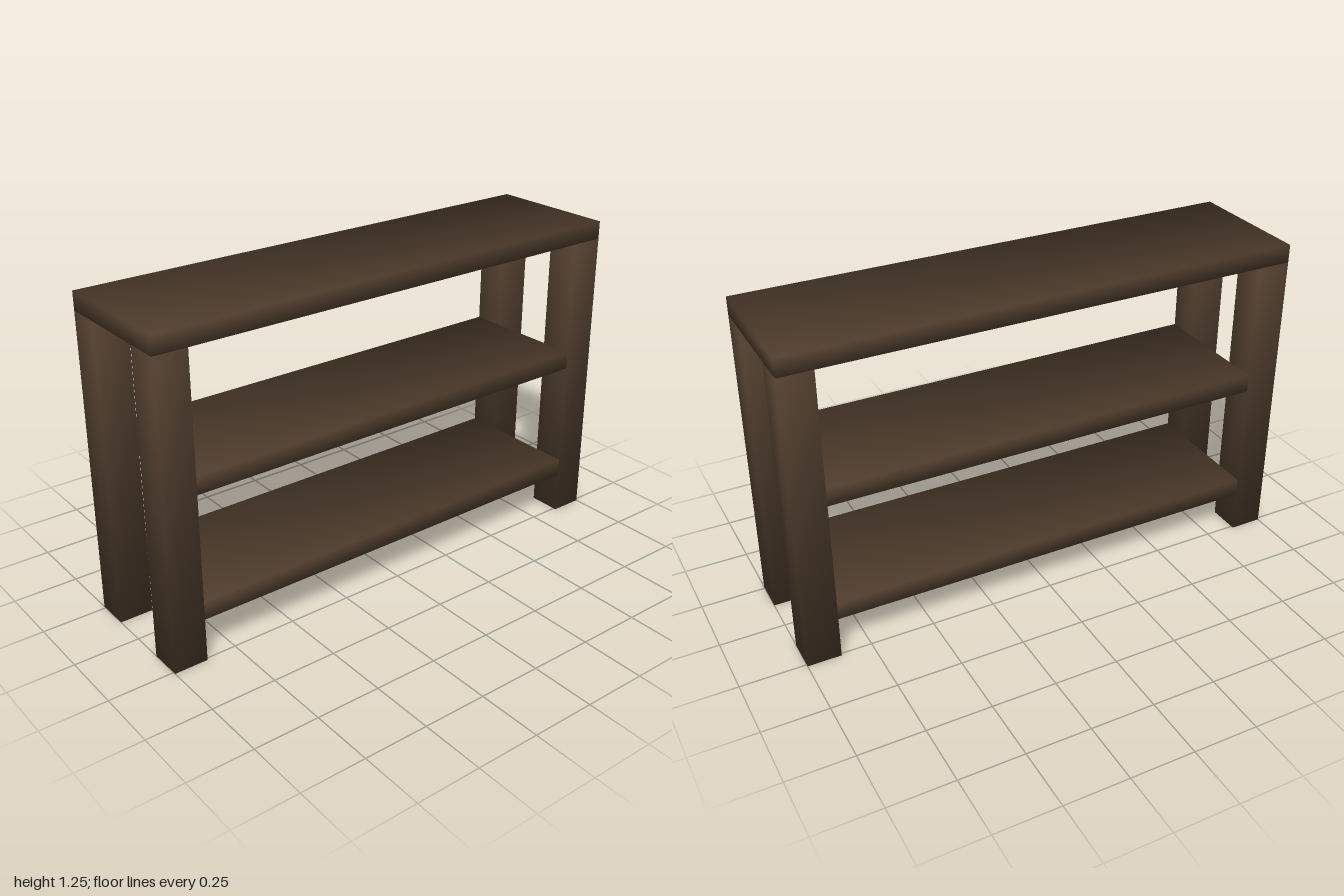
import * as THREE from 'three';

const darkWood = new THREE.MeshStandardMaterial({ color: 0x4f3d2d });
darkWood.name = 'dark wood';

// Box whose normals are shared evenly at the corners, giving softly shaded boards
function board(name, width, height, depth, x, bottom, z) {
  const geometry = new THREE.BoxGeometry(width, height, depth);
  const { position, normal } = geometry.attributes;
  const n = new THREE.Vector3();
  for (let i = 0; i < position.count; i++) {
    n.set(Math.sign(position.getX(i)), Math.sign(position.getY(i)), Math.sign(position.getZ(i))).normalize();
    normal.setXYZ(i, n.x, n.y, n.z);
  }
  const mesh = new THREE.Mesh(geometry, darkWood);
  mesh.name = name;
  mesh.position.set(x, bottom + height / 2, z);
  return mesh;
}

export function createModel() {
  const model = new THREE.Group();
  model.name = 'shelfUnit';

  const depth = 0.52, thickness = 0.07, leg = 0.13, legHeight = 1.177;

  // Top board rests on the legs
  model.add(board('topBoard', 2, thickness, depth, 0, legHeight, 0));

  // Two shelves held between the legs
  const shelfWidth = 2 - 2 * leg;
  model.add(board('lowerShelf', shelfWidth, thickness, depth, 0, 0.168, 0));
  model.add(board('middleShelf', shelfWidth, thickness, depth, 0, 0.655, 0));

  // Four square legs, flush with the corners of the top
  for (const sx of [-1, 1]) {
    for (const sz of [-1, 1]) {
      const name = (sz > 0 ? 'front' : 'back') + (sx > 0 ? 'Left' : 'Right') + 'Leg';
      model.add(board(name, leg, legHeight, leg, sx * (1 - leg / 2), 0, sz * (depth - leg) / 2));
    }
  }
  return model;
}
